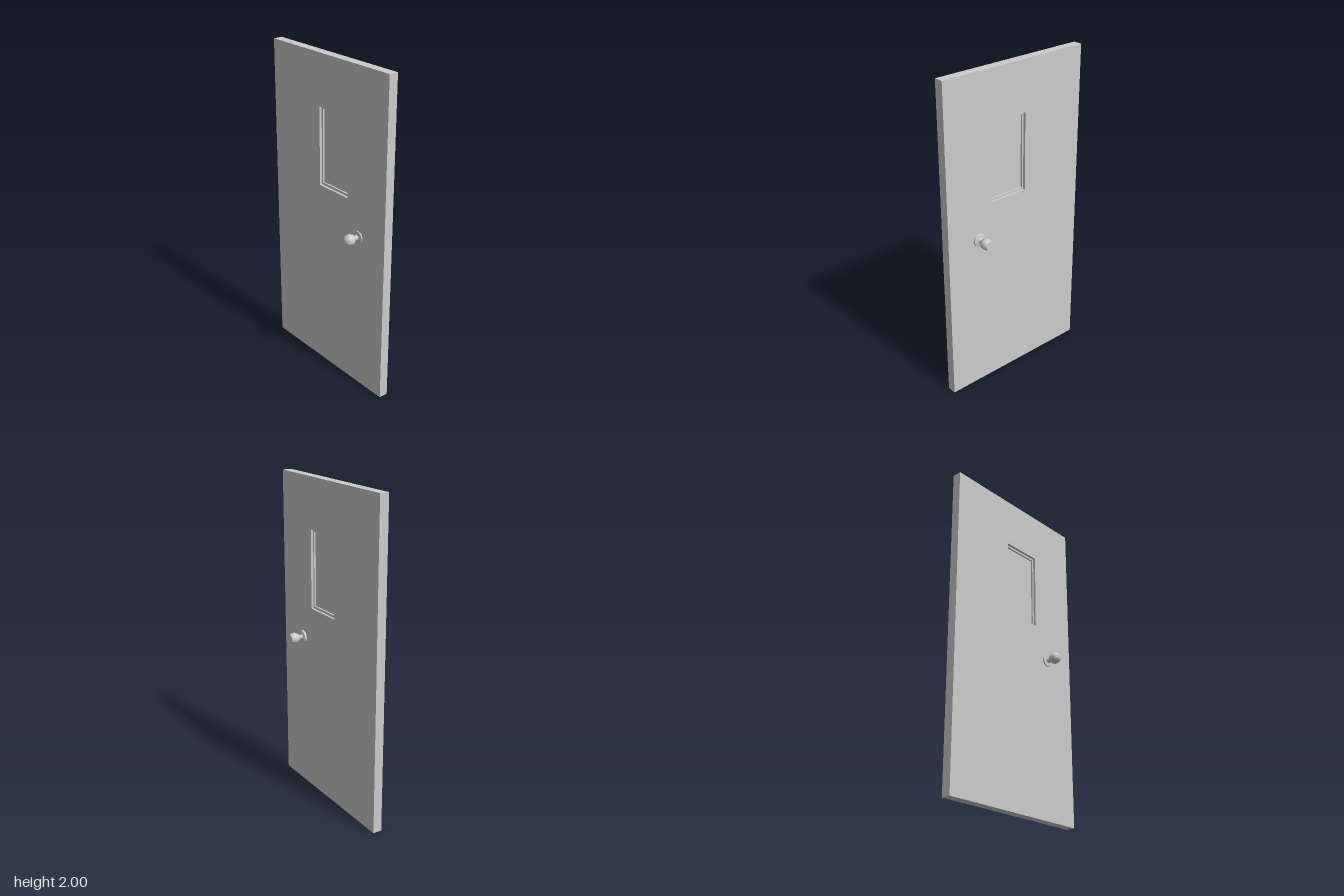
import * as THREE from 'three';
import { toCreasedNormals } from 'three/addons/utils/BufferGeometryUtils.js';

const material = new THREE.MeshStandardMaterial({ color: 0xcccccc });
const FRONT = 0.023, BACK = -0.034, MID = (FRONT + BACK) / 2;

function addPart(group, name, geometry) {
  const mesh = new THREE.Mesh(geometry, material);
  mesh.name = name;
  group.add(mesh);
}

// Traces a rectangle on a Shape or Path
function rectangle(path, x0, y0, x1, y1) {
  path.moveTo(x0, y0);
  path.lineTo(x1, y0);
  path.lineTo(x1, y1);
  path.lineTo(x0, y1);
  path.closePath();
  return path;
}

// Rectangular slab with a rectangular opening, from z0 to z1
function slabWithOpening(outer, inner, z0, z1) {
  const shape = rectangle(new THREE.Shape(), ...outer);
  shape.holes.push(rectangle(new THREE.Path(), ...inner));
  const geometry = new THREE.ExtrudeGeometry(shape, { depth: z1 - z0, bevelEnabled: false });
  return geometry.translate(0, 0, z0);
}

// Turned handle; profile is [radius, distance from the z = 0 plane]
function turned(profile, side) {
  const points = profile.map(([r, d]) => new THREE.Vector2(r, d));
  const geometry = new THREE.LatheGeometry(points, 16);
  geometry.rotateX(side * Math.PI / 2);
  return toCreasedNormals(geometry, 0.6).translate(0.28, 1, 0);
}

export function createModel() {
  const door = new THREE.Group();
  door.name = 'door';

  // Leaf with a stepped window recess on both faces
  const opening = [-0.072, 1.208, 0.181, 1.69];
  const sight = [-0.062, 1.222, 0.171, 1.677];
  addPart(door, 'doorLeaf', slabWithOpening([-0.5, 0, 0.5, 2], opening, BACK, FRONT));
  addPart(door, 'windowFrame', slabWithOpening(opening, sight, MID - 0.013, MID + 0.013));

  // Thin pane
  const pane = new THREE.BoxGeometry(sight[2] - sight[0], sight[3] - sight[1], 0.004);
  pane.translate((sight[0] + sight[2]) / 2, (sight[1] + sight[3]) / 2, MID);
  addPart(door, 'windowPane', pane);

  // Front handle
  addPart(door, 'frontRose', turned([[0.036, 0.023], [0.041, 0.031], [0.04, 0.034], [0, 0.036]], 1));
  addPart(door, 'frontNeck', turned([[0.017, 0.034], [0.012, 0.056]], 1));
  addPart(door, 'frontKnob', turned([[0, 0.054], [0.017, 0.056], [0.028, 0.066], [0.034, 0.079], [0.035, 0.09],
    [0.032, 0.103], [0.026, 0.113], [0.015, 0.121], [0, 0.125]], 1));

  // Back handle, with a flat-ended knob
  addPart(door, 'backRose', turned([[0.041, 0.034], [0.04, 0.045], [0.036, 0.047], [0, 0.048]], -1));
  addPart(door, 'backNeck', turned([[0.018, 0.047], [0.013, 0.056], [0.016, 0.068]], -1));
  addPart(door, 'backKnob', turned([[0, 0.065], [0.016, 0.067], [0.027, 0.077], [0.034, 0.09], [0.035, 0.103],
    [0.032, 0.117], [0.025, 0.129], [0, 0.129]], -1));

  return door;
}
